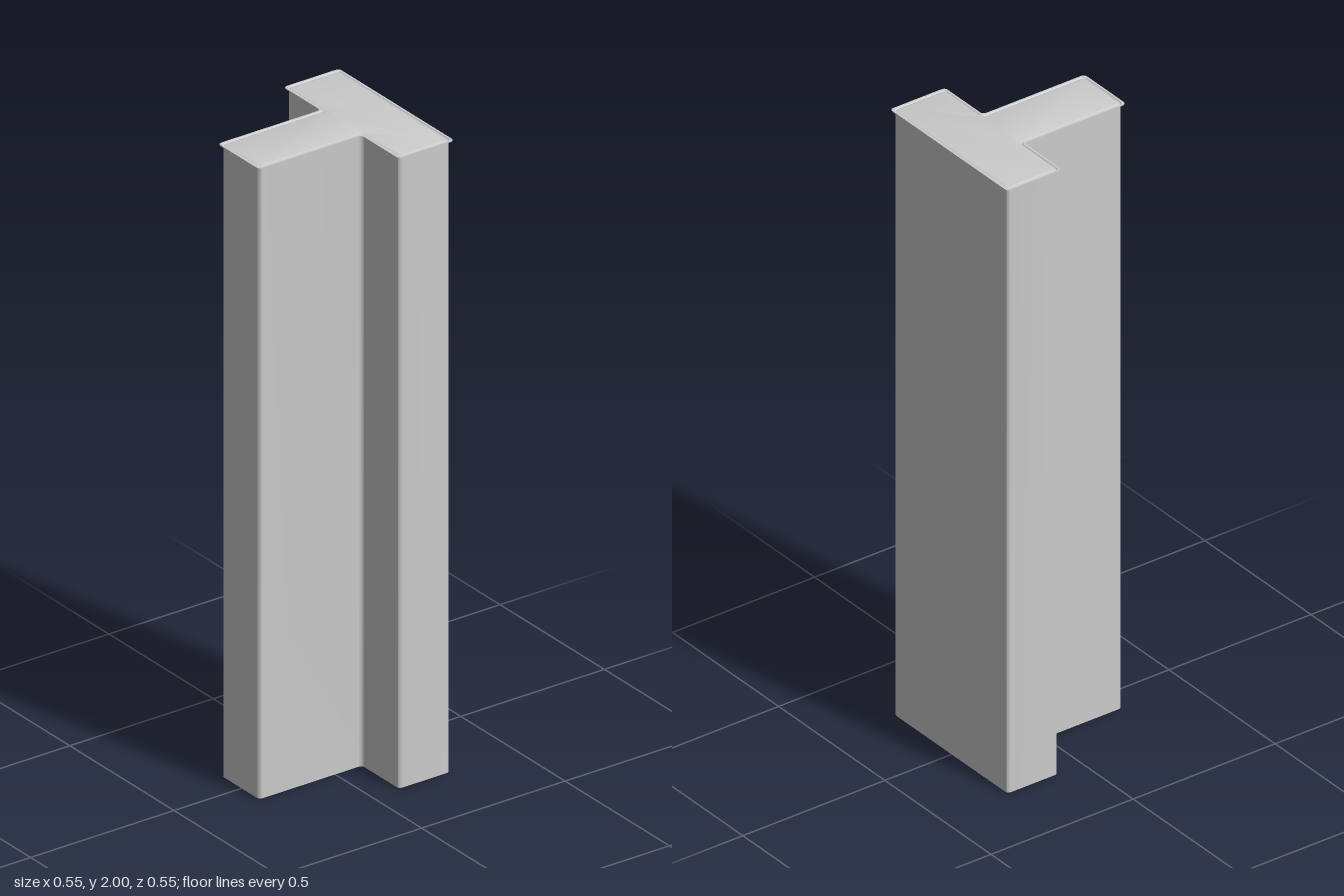
import * as THREE from 'three';
import { toCreasedNormals } from 'three/addons/utils/BufferGeometryUtils.js';

const HALF = 0.268, STEM = 0.09, BAR = 0.09, RADIUS = 0.014, STEPS = 5;

// T outline grown by d, counter-clockwise seen from above, with rounded corners (second axis is -z)
function outline(d) {
  const h = HALF + d, w = STEM + d, b = BAR - d;
  const corners = [[-w, -h], [w, -h], [w, b], [h, b], [h, h], [-h, h], [-h, b], [-w, b]]
    .map(([x, s]) => new THREE.Vector2(x, s));
  const n = corners.length;
  return corners.flatMap((c, i) => {
    const towards = (o) => o.clone().sub(c).setLength(RADIUS).add(c);
    const start = towards(corners[(i + n - 1) % n]), end = towards(corners[(i + 1) % n]);
    return new THREE.QuadraticBezierCurve(start, c, end).getPoints(STEPS);
  });
}

// Loft the outline through [offset, height] rings and cap both ends
function loft(rings) {
  const positions = [], index = [];
  const loops = rings.map(([d]) => outline(d));
  const n = loops[0].length;
  loops.forEach((loop, k) => loop.forEach((p) => positions.push(p.x, rings[k][1], -p.y)));
  for (let k = 0; k < rings.length - 1; k++) {
    for (let i = 0; i < n; i++) {
      const a = k * n + i, b = k * n + (i + 1) % n;
      index.push(a, b, b + n, a, b + n, a + n);
    }
  }
  const last = (rings.length - 1) * n;
  for (const [a, b, c] of THREE.ShapeUtils.triangulateShape(loops[0], [])) index.push(a, c, b);
  for (const [a, b, c] of THREE.ShapeUtils.triangulateShape(loops[rings.length - 1], [])) {
    index.push(last + a, last + b, last + c);
  }
  const geometry = new THREE.BufferGeometry();
  geometry.setAttribute('position', new THREE.Float32BufferAttribute(positions, 3));
  geometry.setIndex(index);
  return toCreasedNormals(geometry, Math.PI / 6);
}

export function createModel() {
  const group = new THREE.Group();
  group.name = 'tBeam';

  // Straight T bar: bevelled foot, thin overhanging lip and shallow groove around the top face
  const beam = new THREE.Mesh(
    loft([
      [-0.008, 0], [0, 0.003],
      [0, 1.996], [0.008, 1.997], [0.008, 2],
      [0.002, 2], [-0.001, 1.997], [-0.008, 2],
    ]),
    new THREE.MeshStandardMaterial({ color: 0xcccccc })
  );
  beam.name = 'beam';
  group.add(beam);
  return group;
}
